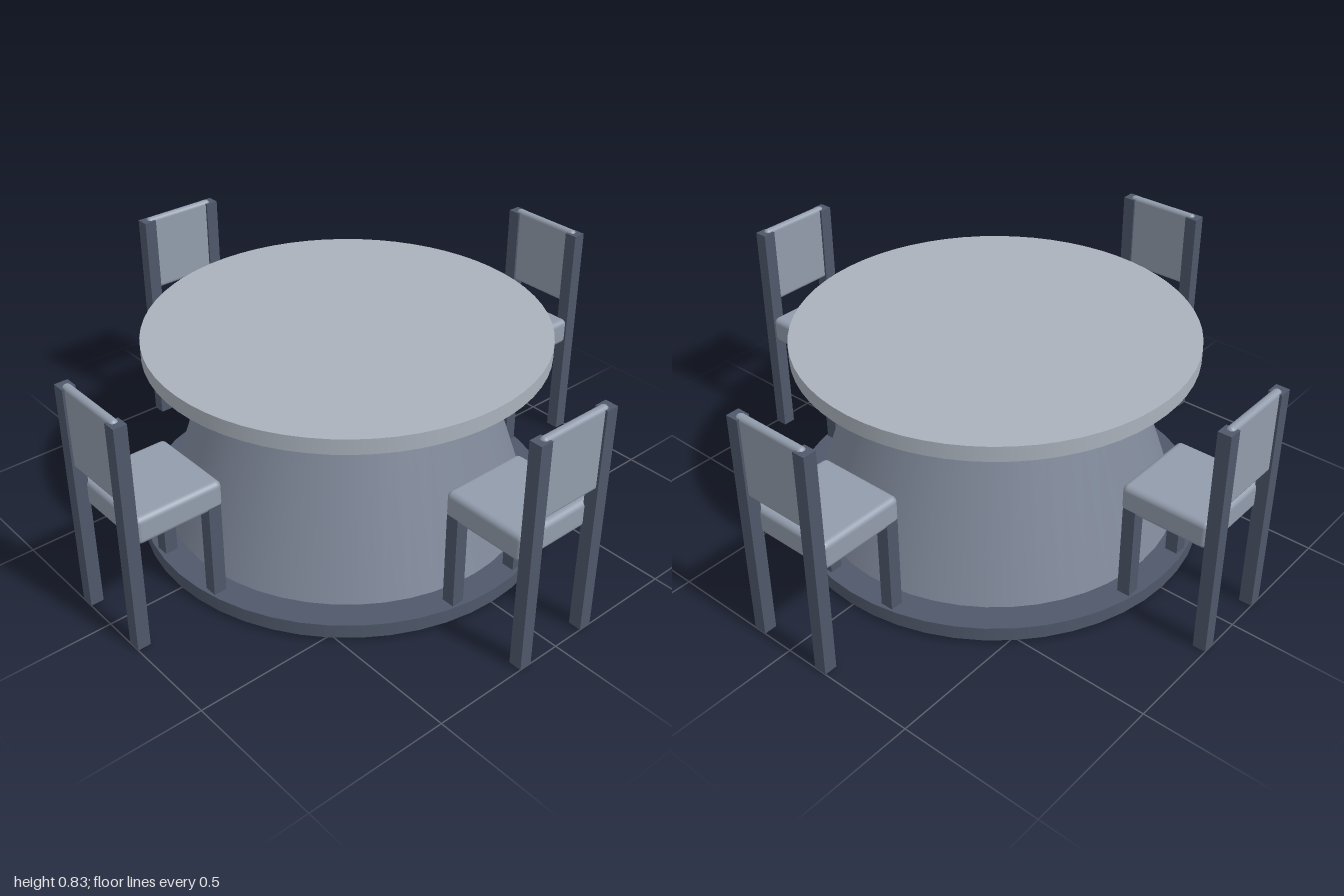
import * as THREE from 'three';
import { RoundedBoxGeometry } from 'three/addons/geometries/RoundedBoxGeometry.js';

const material = (color) => new THREE.MeshStandardMaterial({ color });

function add(parent, name, geometry, mat, x, y, z) {
  const mesh = new THREE.Mesh(geometry, mat);
  mesh.name = name;
  mesh.position.set(x, y, z);
  parent.add(mesh);
  return mesh;
}

// Chair on the +z side, its back facing outward
function createChair(frame, cushion) {
  const chair = new THREE.Group();
  const leg = 0.046;
  for (const [side, s] of [['left', 1], ['right', -1]]) {
    add(chair, side + 'BackLeg', new THREE.BoxGeometry(leg, 0.822, leg), frame, s * 0.139, 0.411, 0.977);
    add(chair, side + 'FrontLeg', new THREE.BoxGeometry(leg, 0.4, leg), frame, s * 0.139, 0.2, 0.68);
  }
  add(chair, 'seat', new RoundedBoxGeometry(0.322, 0.098, 0.315, 3, 0.02), cushion, 0, 0.433, 0.802);
  add(chair, 'backrest', new RoundedBoxGeometry(0.28, 0.29, 0.03, 3, 0.0145), cushion, 0, 0.686, 0.977);
  return chair;
}

export function createModel() {
  const model = new THREE.Group();
  const frame = material(0x4f586a);
  const cushion = material(0x929cac);
  const pedestalMat = material(0x7f8899);
  const topMat = material(0xaab2bc);

  // Table: floor plate, tapered pedestal and round top
  const table = new THREE.Group();
  table.name = 'table';
  add(table, 'basePlate', new THREE.CylinderGeometry(0.73, 0.73, 0.05, 48), frame, 0, 0.035, 0);
  add(table, 'pedestal', new THREE.CylinderGeometry(0.47, 0.642, 0.518, 48), pedestalMat, 0, 0.329, 0);
  add(table, 'tableTop', new THREE.CylinderGeometry(0.686, 0.686, 0.054, 64), topMat, 0, 0.703, 0);
  model.add(table);

  // Four chairs around the table
  ['front', 'left', 'back', 'right'].forEach((name, i) => {
    const chair = createChair(frame, cushion);
    chair.name = name + 'Chair';
    chair.rotation.y = (i * Math.PI) / 2;
    model.add(chair);
  });

  return model;
}
